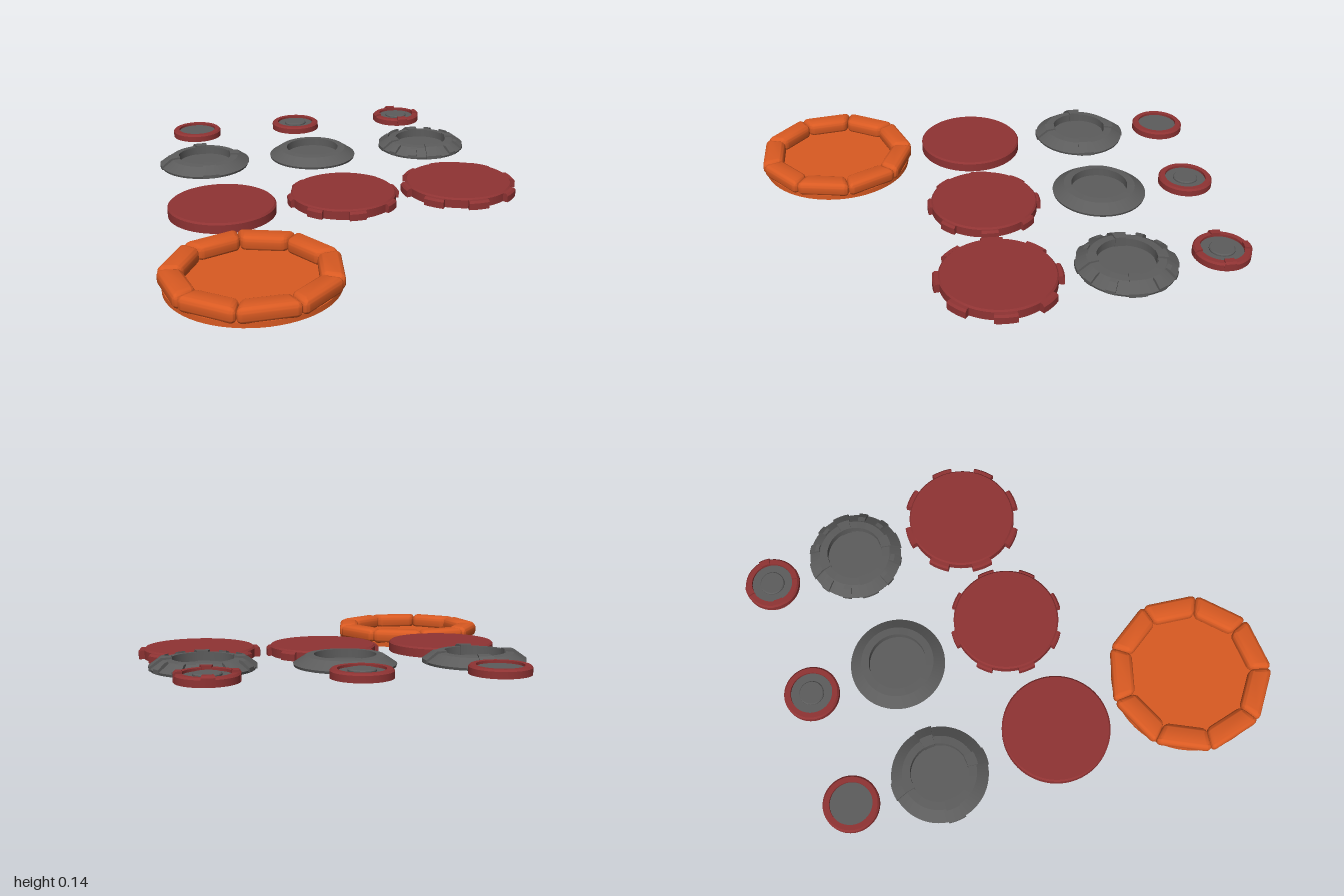
import * as THREE from 'three';
import { toCreasedNormals } from 'three/addons/utils/BufferGeometryUtils.js';
import { RoundedBoxGeometry } from 'three/addons/geometries/RoundedBoxGeometry.js';

const orange = new THREE.MeshStandardMaterial({ color: 0xd95a22 });
const red = new THREE.MeshStandardMaterial({ color: 0x8f3333 });
const grey = new THREE.MeshStandardMaterial({ color: 0x5c5c5c });

function add(parent, geometry, material, name) {
  const mesh = new THREE.Mesh(geometry, material);
  mesh.name = name;
  parent.add(mesh);
  return mesh;
}

function makeGroup(parent, name, x, z) {
  const g = new THREE.Group();
  g.name = name;
  g.position.set(x, 0, z);
  parent.add(g);
  return g;
}

// Turned solid; profile runs from the bottom centre outwards and back to the top centre
function turned(profile) {
  const pts = profile.map(([r, y]) => new THREE.Vector2(r, y));
  return toCreasedNormals(new THREE.LatheGeometry(pts, 64), 0.4);
}

// Block bent round the y axis: top heights are given at each radius, width is in radians
function arcBlock(radii, tops, bottom, width) {
  const n = radii.length - 1;
  const geo = new THREE.BoxGeometry(1, 1, 1, 4, 1, n);
  const p = geo.attributes.position;
  for (let i = 0; i < p.count; i++) {
    const k = Math.round((p.getZ(i) + 0.5) * n);
    const a = p.getX(i) * width;
    const y = p.getY(i) > 0 ? tops[k] : bottom;
    p.setXYZ(i, radii[k] * Math.sin(a), y, radii[k] * Math.cos(a));
  }
  return toCreasedNormals(geo, 0.4);
}

// Copies of one block at the given angles in degrees
function ringOf(parent, geometry, material, name, angles) {
  for (const a of angles) {
    add(parent, geometry, material, name).rotation.y = THREE.MathUtils.degToRad(a);
  }
}

const quarters = [0, 90, 180, 270];
const eighths = [0, 45, 90, 135, 180, 225, 270, 315];

// Inflated ring of nine cushions on a round floor
function cushionTray(parent, x, z) {
  const g = makeGroup(parent, 'cushionTray', x, z);
  add(g, turned([[0, 0], [0.335, 0], [0.335, 0.022], [0, 0.022]]), orange, 'trayFloor');
  const mid = 0.29, half = Math.PI / 9;
  const geo = new RoundedBoxGeometry(2 * mid * Math.tan(half), 0.066, 0.092, 4, 0.024);
  const p = geo.attributes.position;
  // Taper each cushion so that neighbours meet on a mitre
  for (let i = 0; i < p.count; i++) {
    const r = mid + p.getZ(i);
    p.setXYZ(i, p.getX(i) * r / mid, p.getY(i) + 0.047, r);
  }
  geo.computeVertexNormals();
  const smooth = toCreasedNormals(geo, 1.0);
  ringOf(g, smooth, orange, 'cushion', Array.from({ length: 9 }, (_, i) => i * 40));
}

// Flat red plate with optional rim tabs
function plate(parent, x, z, radius, reach, tabWidth) {
  const g = makeGroup(parent, 'plate', x, z);
  add(g, turned([[0, 0.035], [radius, 0.035], [radius, 0.072],
    [radius - 0.007, 0.079], [0, 0.079]]), red, 'plateDisc');
  if (reach) {
    const tab = arcBlock([radius - 0.02, reach - 0.008, reach], [0.073, 0.073, 0.064], 0.035, tabWidth);
    ringOf(g, tab, red, 'rimTab', eighths);
  }
}

// Dark collar with a sunken centre, optional ribs and studs
function collar(parent, x, z, ribs, studs) {
  const g = makeGroup(parent, 'collar', x, z);
  add(g, turned([[0, 0.07], [0.2, 0.07], [0.203, 0.08], [0.155, 0.112],
    [0.122, 0.115], [0.122, 0.08], [0, 0.08]]), grey, 'collarRing');
  if (ribs) {
    const rib = arcBlock([0.119, 0.162, 0.207], [0.122, 0.12, 0.088], 0.072, 0.36);
    ringOf(g, rib, grey, 'collarRib', quarters);
  }
  if (studs) {
    const stud = arcBlock([0.16, 0.178, 0.206], [0.118, 0.113, 0.09], 0.074, 0.19);
    ringOf(g, stud, grey, 'collarStud', quarters.flatMap(a => [a + 30, a + 60]));
  }
}

// Small red cap with a dark inset, optional boss and rim blocks
function cap(parent, x, z, boss, blocks) {
  const g = makeGroup(parent, 'cap', x, z);
  add(g, turned([[0, 0.094], [0.116, 0.094], [0.116, 0.12], [0.109, 0.127],
    [0.088, 0.127], [0.088, 0.11], [0, 0.11]]), red, 'capRim');
  add(g, turned([[0.0875, 0.108], [0.0875, 0.117], [0, 0.117]]), grey, 'capInset');
  if (boss) {
    add(g, turned([[0.052, 0.115], [0.052, 0.123], [0.048, 0.127], [0, 0.127]]), grey, 'capBoss');
  }
  if (blocks) {
    const block = arcBlock([0.087, 0.111, 0.118], [0.135, 0.135, 0.127], 0.096, 0.42);
    ringOf(g, block, red, 'capBlock', quarters);
  }
}

export function createModel() {
  const model = new THREE.Group();
  model.name = 'discSet';

  cushionTray(model, -0.49, 0.655);

  plate(model, -0.505, 0.02, 0.23);
  plate(model, 0.03, 0.01, 0.23, 0.246, 0.3);
  plate(model, 0.565, 0.01, 0.237, 0.26, 0.36);

  collar(model, -0.505, -0.505, true, false);
  collar(model, 0.013, -0.5, false, false);
  collar(model, 0.562, -0.5, true, true);

  cap(model, -0.49, -0.884, false, false);
  cap(model, 0.015, -0.884, true, false);
  cap(model, 0.557, -0.884, true, true);

  return model;
}
